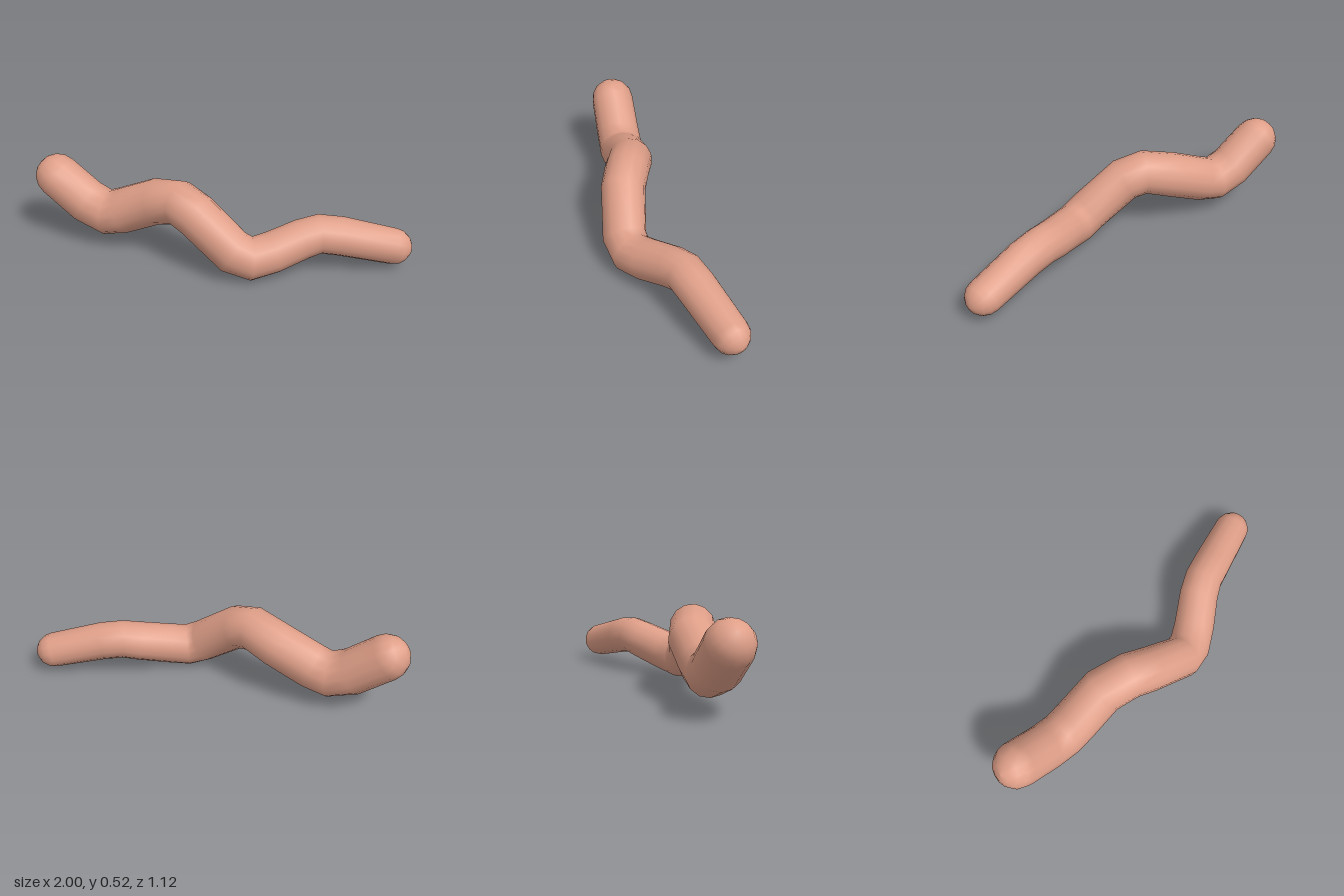
import * as THREE from 'three';

// Centre line with radius: x, y, z, r
const SPINE = [
  [-0.87, 0.395, 0.43, 0.132],
  [-0.70, 0.255, 0.37, 0.134],
  [-0.58, 0.205, 0.33, 0.135],
  [-0.48, 0.235, 0.295, 0.135],
  [-0.28, 0.33, 0.225, 0.134],
  [-0.11, 0.372, 0.218, 0.13],
  [0.01, 0.335, 0.22, 0.128],
  [0.24, 0.165, 0.18, 0.126],
  [0.325, 0.125, 0.125, 0.124],
  [0.40, 0.15, 0.03, 0.12],
  [0.50, 0.2, -0.12, 0.116],
  [0.565, 0.222, -0.195, 0.113],
  [0.66, 0.207, -0.27, 0.112],
  [0.898, 0.137, -0.46, 0.104],
];
const SIDES = 14;
const CAP_STEPS = 4;

// Rings along the spine, with hemispherical rings at both ends
function buildRings() {
  const points = SPINE.map(([x, y, z]) => new THREE.Vector3(x, y, z));
  const n = points.length;
  const rings = points.map((center, i) => ({
    center,
    radius: SPINE[i][3],
    tangent: points[Math.min(i + 1, n - 1)].clone().sub(center).normalize()
      .add(center.clone().sub(points[Math.max(i - 1, 0)]).normalize()).normalize(),
  }));
  const cap = (ring, sign) => {
    const list = [];
    for (let k = 1; k <= CAP_STEPS; k++) {
      const a = (k / CAP_STEPS) * Math.PI / 2;
      list.push({
        center: ring.center.clone().addScaledVector(ring.tangent, sign * ring.radius * Math.sin(a)),
        radius: Math.max(ring.radius * Math.cos(a), 0.0005),
        tangent: ring.tangent,
      });
    }
    return list;
  };
  return [...cap(rings[0], -1).reverse(), ...rings, ...cap(rings[n - 1], 1)];
}

// Skin the rings, carrying the side direction along to avoid twist
function buildBody() {
  const rings = buildRings();
  const positions = [];
  const indices = [];
  const side = new THREE.Vector3(0, 1, 0);
  rings.forEach(({ center, radius, tangent }, i) => {
    side.addScaledVector(tangent, -side.dot(tangent)).normalize();
    const other = new THREE.Vector3().crossVectors(tangent, side);
    for (let j = 0; j < SIDES; j++) {
      const a = (j / SIDES) * Math.PI * 2;
      const p = center.clone()
        .addScaledVector(side, radius * Math.cos(a))
        .addScaledVector(other, radius * Math.sin(a));
      positions.push(p.x, p.y, p.z);
      if (i === 0) continue;
      const next = (j + 1) % SIDES;
      const a0 = (i - 1) * SIDES + j, b0 = (i - 1) * SIDES + next;
      const a1 = i * SIDES + j, b1 = i * SIDES + next;
      indices.push(a0, b0, a1, b0, b1, a1);
    }
  });
  const geometry = new THREE.BufferGeometry();
  geometry.setAttribute('position', new THREE.Float32BufferAttribute(positions, 3));
  geometry.setIndex(indices);
  geometry.computeVertexNormals();
  return geometry;
}

export function createModel() {
  const group = new THREE.Group();
  group.name = 'worm';
  const skin = new THREE.MeshStandardMaterial({ color: 0xdf9f88 });
  skin.name = 'pink skin';
  const body = new THREE.Mesh(buildBody(), skin);
  body.name = 'body';
  group.add(body);

  // Rest on the ground, centred
  const box = new THREE.Box3().setFromObject(group);
  const c = box.getCenter(new THREE.Vector3());
  body.position.set(-c.x, -box.min.y, -c.z);
  return group;
}
